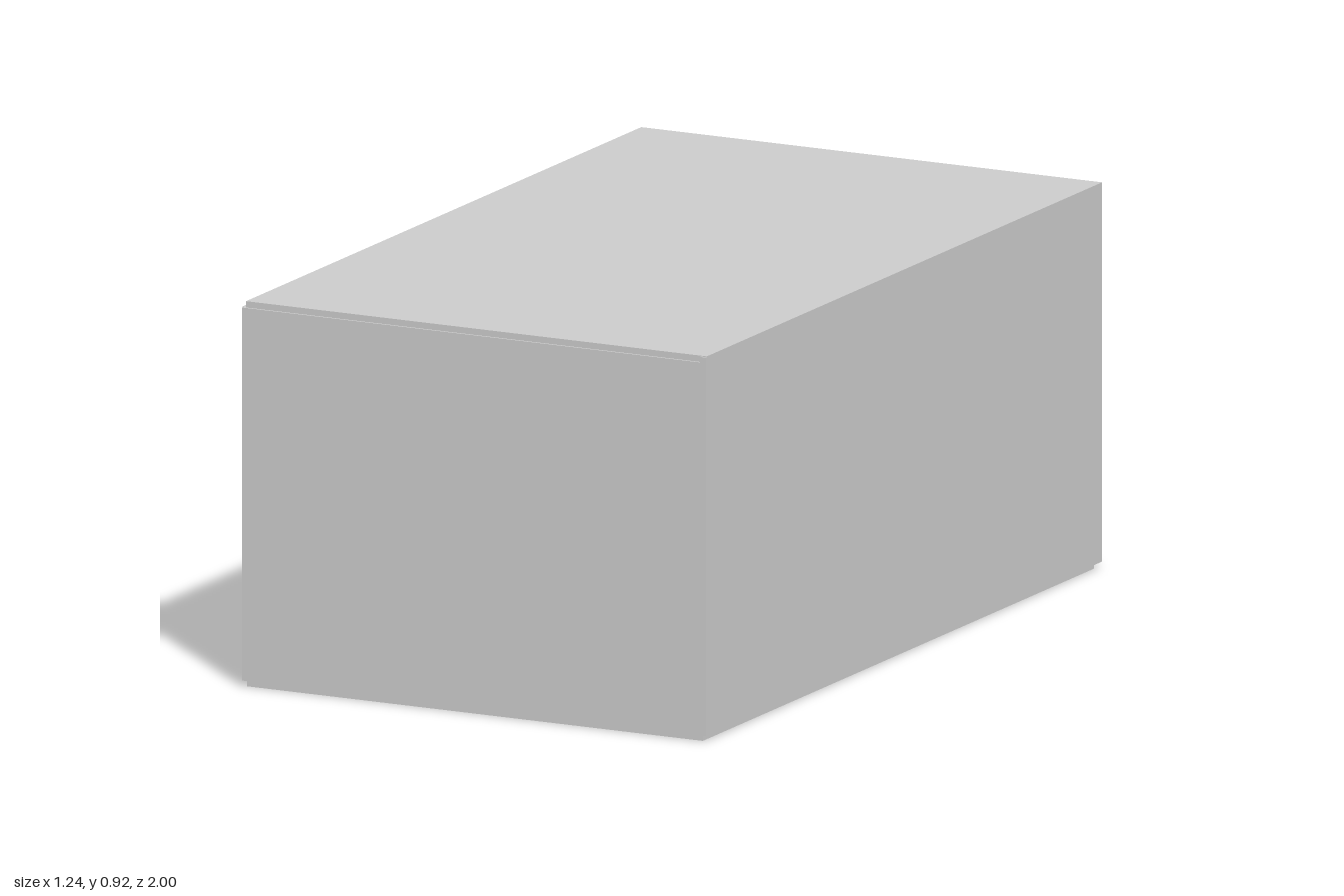
import * as THREE from 'three';
import { RoundedBoxGeometry } from 'three/addons/geometries/RoundedBoxGeometry.js';

const grey = new THREE.MeshStandardMaterial({ color: 0xcccccc });

function add(parent, name, geometry, x = 0, y = 0, z = 0) {
  const mesh = new THREE.Mesh(geometry, grey);
  mesh.name = name;
  mesh.position.set(x, y, z);
  parent.add(mesh);
  return mesh;
}

// box given by its lower and upper limits on each axis
function slab(parent, name, [x0, x1], [y0, y1], [z0, z1]) {
  return add(parent, name, new THREE.BoxGeometry(x1 - x0, y1 - y0, z1 - z0),
    (x0 + x1) / 2, (y0 + y1) / 2, (z0 + z1) / 2);
}

function soft(parent, name, [x0, x1], [y0, y1], [z0, z1], r) {
  return add(parent, name, new RoundedBoxGeometry(x1 - x0, y1 - y0, z1 - z0, 4, r),
    (x0 + x1) / 2, (y0 + y1) / 2, (z0 + z1) / 2);
}

function group(parent, name) {
  const g = new THREE.Group();
  g.name = name;
  parent.add(g);
  return g;
}

// thin slabs for floor, roof and walls, with a doorway at the back
function buildShell(room) {
  const shell = group(room, 'shell');
  slab(shell, 'floor', [-0.597, 0.597], [0, 0.015], [-0.98, 0.985]);
  slab(shell, 'roof', [-0.597, 0.61], [0.905, 0.92], [-0.995, 0.99]);
  slab(shell, 'wallAtPlusX', [0.595, 0.61], [0.015, 0.918], [-0.98, 0.995]);
  slab(shell, 'wallAtMinusX', [-0.609, -0.594], [0.015, 0.905], [-0.98, 0.985]);
  slab(shell, 'frontWall', [-0.605, 0.595], [0.015, 0.905], [0.98, 0.995]);

  const outline = new THREE.Shape();
  outline.moveTo(-0.6, 0.015).lineTo(0.61, 0.015).lineTo(0.61, 0.905).lineTo(-0.6, 0.905).closePath();
  const door = new THREE.Path();
  door.moveTo(-0.025, 0.025).lineTo(-0.025, 0.62).lineTo(0.265, 0.62).lineTo(0.265, 0.025).closePath();
  outline.holes.push(door);
  add(shell, 'backWall', new THREE.ExtrudeGeometry(outline, { depth: 0.015, bevelEnabled: false }), 0, 0, -0.995);
}

// small chair facing -x, its backrest leaning towards the wall
function buildChair(room) {
  const chair = group(room, 'chair');
  chair.position.set(0.485, 0.015, -0.42);
  soft(chair, 'seat', [-0.075, 0.07], [0.085, 0.1], [-0.06, 0.06], 0.007);
  const back = add(chair, 'backrest', new RoundedBoxGeometry(0.012, 0.16, 0.115, 3, 0.005), 0.079, 0.167, 0);
  back.rotation.z = -0.16;
  for (const x of [-0.062, 0.06]) {
    for (const z of [-0.052, 0.052]) {
      add(chair, 'leg', new THREE.CylinderGeometry(0.004, 0.003, 0.09, 10), x, 0.045, z);
    }
  }
  for (const r of [0.025, 0.055]) {
    const ring = add(chair, 'baseRing', new THREE.TorusGeometry(r, 0.003, 6, 32), 0, 0.006, 0);
    ring.rotation.x = Math.PI / 2;
  }
}

// open shelves against the wall, with a bowl on top
function buildBookcase(room) {
  const bookcase = group(room, 'bookcase');
  const xs = [-0.594, -0.45];
  for (const z of [-0.41, 0.18]) slab(bookcase, 'sidePanel', xs, [0.015, 0.69], [z, z + 0.012]);
  slab(bookcase, 'backPanel', [-0.594, -0.588], [0.015, 0.69], [-0.41, 0.192]);
  for (let i = 0; i < 6; i++) {
    const y = 0.025 + i * 0.1306;
    slab(bookcase, 'shelf', xs, [y, y + 0.012], [-0.398, 0.18]);
  }
  const profile = [[0, 0], [0.018, 0], [0.03, 0.02], [0.034, 0.045], [0.031, 0.045], [0.026, 0.02], [0, 0.006]]
    .map(([x, y]) => new THREE.Vector2(x, y));
  add(bookcase, 'bowl', new THREE.LatheGeometry(profile, 24), -0.5, 0.69, -0.3);
}

// low sofa whose rounded base just shows through the wall
function buildSofa(room) {
  const sofa = group(room, 'sofa');
  soft(sofa, 'base', [-0.623, -0.42], [0.017, 0.105], [-0.83, -0.415], 0.03);
  soft(sofa, 'backrest', [-0.59, -0.54], [0.08, 0.21], [-0.82, -0.42], 0.02);
  for (const z of [-0.825, -0.46]) soft(sofa, 'armrest', [-0.59, -0.42], [0.07, 0.15], [z, z + 0.04], 0.015);
}

export function createModel() {
  const model = new THREE.Group();
  model.name = 'room';
  const room = group(model, 'roomContents');
  room.rotation.y = -0.0085; // the whole room is turned very slightly
  buildShell(room);
  buildChair(room);
  buildBookcase(room);
  buildSofa(room);
  return model;
}
